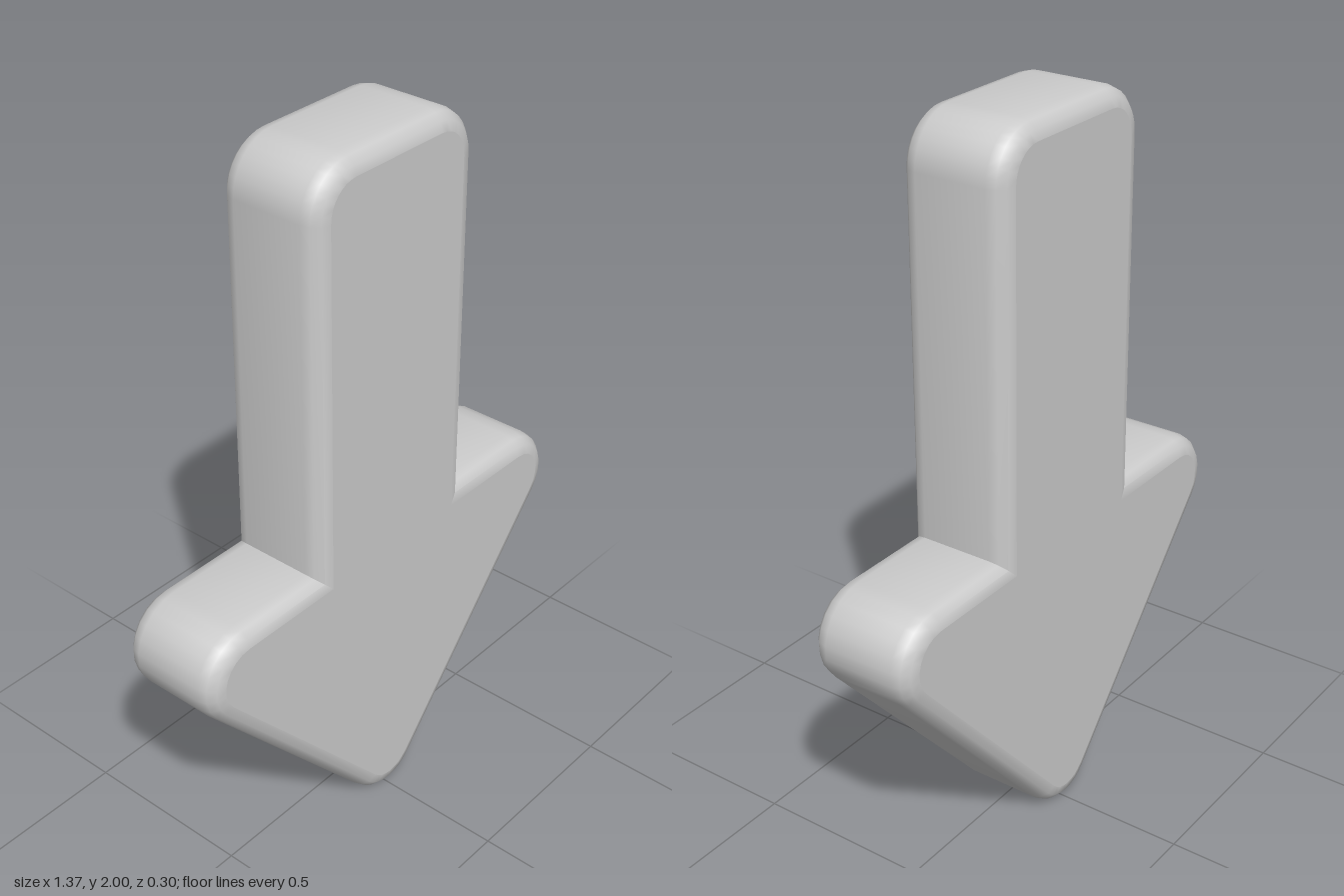
import * as THREE from 'three';
import { toCreasedNormals } from 'three/addons/utils/BufferGeometryUtils.js';

const BEVEL = 0.05;
const HALF_DEPTH = 0.15;

// Outline of the arrow, counter-clockwise from the tip
function arrowOutline() {
  const r = 0.135;                       // corner radius
  const wing = { x: 0.55, y: 0.765 };    // centre of the wing corner
  const tipY = 0.14;                     // centre of the tip corner
  const shaft = 0.29, top = 2;
  const slope = Math.atan2(wing.y - tipY, wing.x) - Math.PI / 2; // normal of the slanted edge

  const s = new THREE.Shape();
  s.absarc(0, tipY, r, -Math.PI - slope, slope);
  s.absarc(wing.x, wing.y, r, slope, Math.PI / 2);
  s.lineTo(shaft, wing.y + r);
  s.absarc(shaft - r, top - r, r, 0, Math.PI / 2);
  s.absarc(-shaft + r, top - r, r, Math.PI / 2, Math.PI);
  s.lineTo(-shaft, wing.y + r);
  s.absarc(-wing.x, wing.y, r, Math.PI / 2, Math.PI - slope);
  s.closePath();
  return s;
}

export function createModel() {
  const depth = 2 * (HALF_DEPTH - BEVEL);
  let geometry = new THREE.ExtrudeGeometry(arrowOutline(), {
    depth, curveSegments: 4,
    bevelThickness: BEVEL, bevelSize: BEVEL, bevelOffset: -BEVEL, bevelSegments: 3,
  });
  geometry.translate(0, 0, -depth / 2);
  geometry = toCreasedNormals(geometry, 0.7);

  // Keep the front and back faces perfectly flat
  const { position, normal } = geometry.attributes;
  for (let i = 0; i < position.count; i += 3) {
    const z = position.getZ(i);
    const flat = [0, 1, 2].every((k) => Math.abs(position.getZ(i + k) - z) < 1e-5);
    if (flat && Math.abs(z) > HALF_DEPTH - 1e-4) {
      for (let k = 0; k < 3; k++) normal.setXYZ(i + k, 0, 0, Math.sign(z));
    }
  }
  geometry.clearGroups();

  const arrow = new THREE.Mesh(geometry, new THREE.MeshStandardMaterial({ color: 0xcccccc }));
  arrow.name = 'downArrow';
  const group = new THREE.Group();
  group.name = 'arrow';
  group.add(arrow);
  return group;
}
